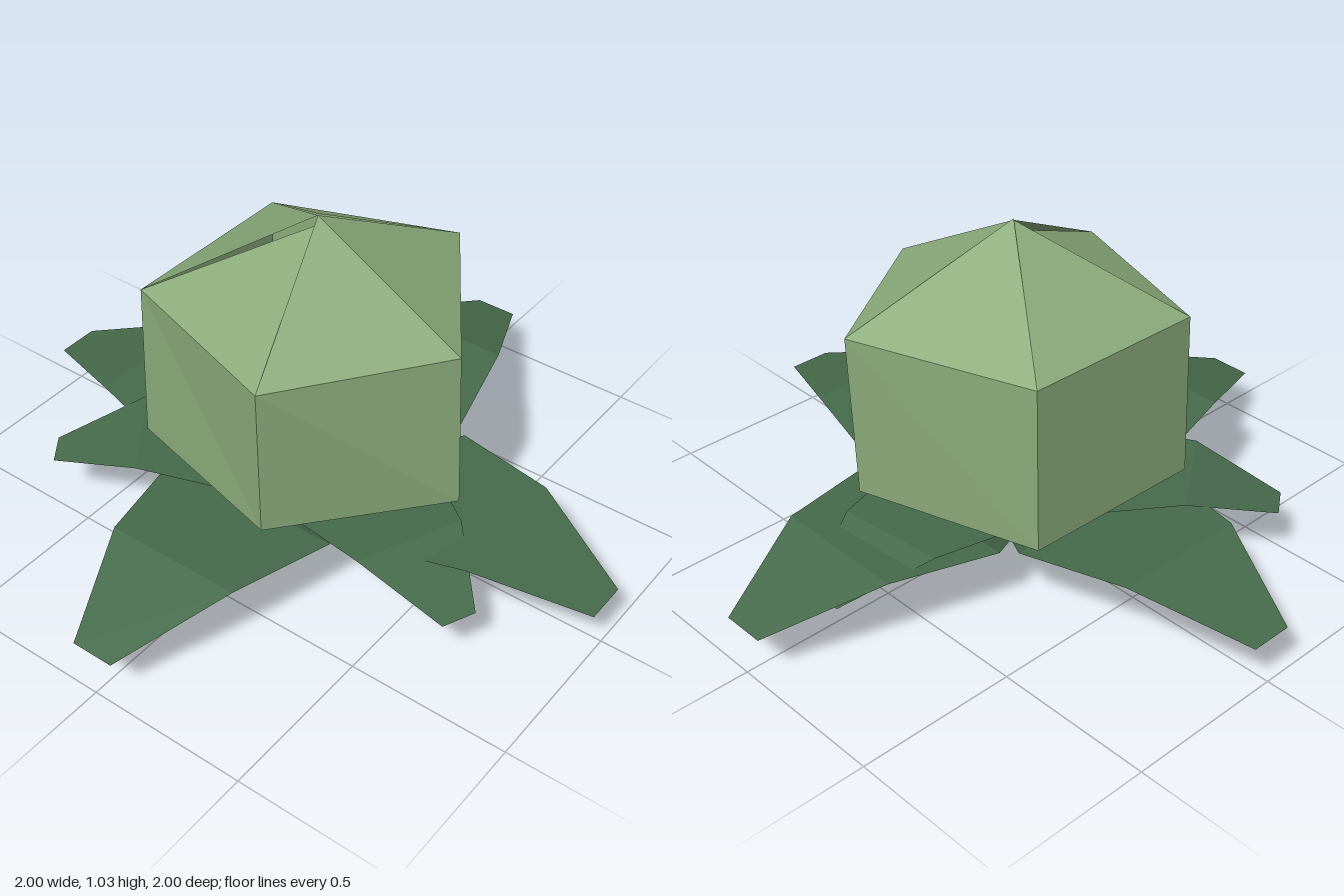
import * as THREE from 'three';

// Surface from a list of triangles, each triangle being three [x, y, z] corners
function facets(triangles) {
  const geometry = new THREE.BufferGeometry();
  geometry.setAttribute('position', new THREE.Float32BufferAttribute(triangles.flat(2), 3));
  geometry.computeVertexNormals();
  return geometry;
}

// Two triangles per quad, corners counter-clockwise
const quad = (a, b, c, d) => [[a, b, d], [b, c, d]];

// Leaf running along +z: rises from the stem, then droops to a blunt tip
function leafGeometry() {
  const stations = [ // [half width, height, distance]
    [0.067, 0.055, 0],
    [0.295, 0.22, 0.333],
    [0.215, 0.245, 0.667],
    [0.067, 0.15, 1],
  ];
  const triangles = [];
  for (let i = 0; i < stations.length - 1; i++) {
    const [w0, y0, z0] = stations[i];
    const [w1, y1, z1] = stations[i + 1];
    triangles.push(...quad([-w0, y0, z0], [-w1, y1, z1], [w1, y1, z1], [w0, y0, z0]));
  }
  return facets(triangles);
}

export function createModel() {
  const model = new THREE.Group();
  model.name = 'leafyBud';

  const budGreen = new THREE.MeshStandardMaterial({
    color: 0x8aab7a, flatShading: true, side: THREE.DoubleSide,
  });
  budGreen.name = 'budGreen';
  const leafGreen = new THREE.MeshStandardMaterial({
    color: 0x466b4b, flatShading: true, side: THREE.DoubleSide,
  });
  leafGreen.name = 'leafGreen';

  // Five folded petals closing into a slightly uneven pentagonal bud
  const upper = [
    [0.485, 0.762, 0], [0.155, 0.78, -0.488], [-0.395, 0.775, -0.29],
    [-0.405, 0.775, 0.295], [0.155, 0.775, 0.475],
  ];
  const lower = [
    [0.507, 0.26, 0], [0.148, 0.27, -0.47], [-0.405, 0.265, -0.29],
    [-0.415, 0.265, 0.3], [0.147, 0.28, 0.455],
  ];
  const apexHeights = [1.03, 1.035, 1.03, 1.0, 1.03];
  const tipHeights = [0.035, 0, 0.01, 0.01, 0.015];

  const bud = new THREE.Group();
  bud.name = 'bud';
  for (let i = 0; i < 5; i++) {
    const j = (i + 1) % 5;
    const petal = new THREE.Mesh(facets([
      [upper[i], upper[j], [0, apexHeights[i], 0]],
      ...quad(lower[i], lower[j], upper[j], upper[i]),
      [[0, tipHeights[i], 0], lower[j], lower[i]],
    ]), budGreen);
    petal.name = `petal${i + 1}`;
    bud.add(petal);
  }
  model.add(bud);

  // Four large leaves in a cross, and three smaller ones between them
  const leaf = leafGeometry();
  function addLeaves(name, count, startDegrees, scale, height) {
    for (let i = 0; i < count; i++) {
      const mesh = new THREE.Mesh(leaf, leafGreen);
      mesh.name = `${name}${i + 1}`;
      mesh.rotation.y = THREE.MathUtils.degToRad(startDegrees + (i * 360) / count);
      mesh.scale.setScalar(scale);
      mesh.position.y = height;
      model.add(mesh);
    }
  }
  addLeaves('largeLeaf', 4, 0, 1, 0);
  addLeaves('smallLeaf', 3, 66, 0.795, 0.06);

  return model;
}
